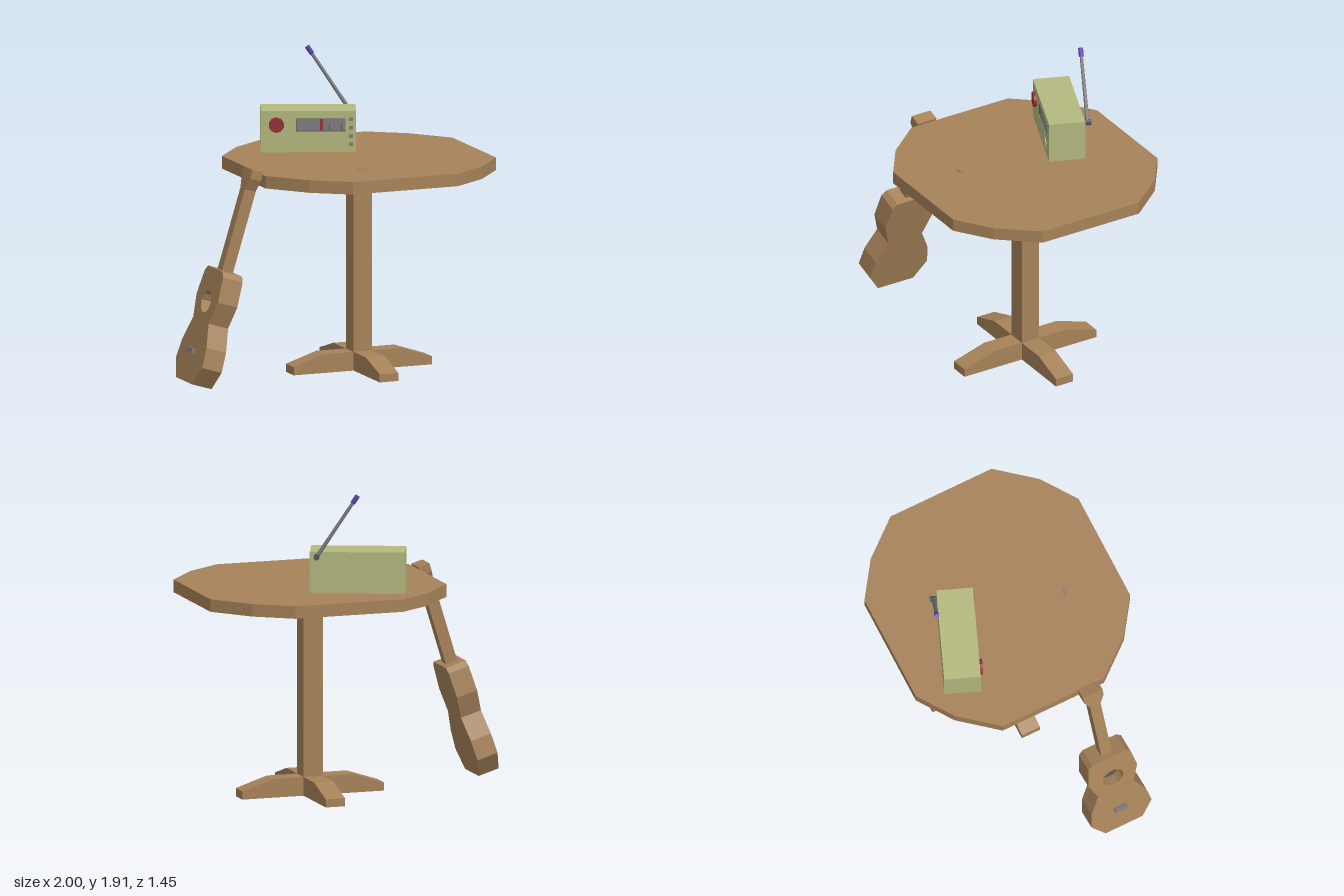
import * as THREE from 'three';

const mat = (name, color) => {
  const m = new THREE.MeshStandardMaterial({ color });
  m.name = name;
  return m;
};

export function createModel() {
  const wood = mat('wood', 0xa68259);
  const green = mat('olive green', 0xb4b97f);
  const red = mat('red', 0x963236);
  const grey = mat('grey', 0x7e7e80);
  const dark = mat('dark grey', 0x55565a);
  const purple = mat('purple', 0x5a43b8);

  const add = (parent, name, geo, material, x = 0, y = 0, z = 0) => {
    const mesh = new THREE.Mesh(geo, material);
    mesh.name = name;
    mesh.position.set(x, y, z);
    parent.add(mesh);
    return mesh;
  };
  const box = (w, h, d) => new THREE.BoxGeometry(w, h, d);
  const flatCyl = (r, h, n) => new THREE.CylinderGeometry(r, r, h, n).toNonIndexed();
  const disc = (r, h, n) => {
    const g = flatCyl(r, h, n).rotateX(Math.PI / 2);
    g.computeVertexNormals();
    return g;
  };
  const shapeOf = pts => new THREE.Shape(pts.map(p => new THREE.Vector2(p[0], p[1])));
  // symmetric outline from half widths [halfWidth, height]
  const mirrored = half => shapeOf([...half, ...half.map(([x, y]) => [-x, y]).reverse()]);
  const extrude = (shape, depth, curveSegments = 3) =>
    new THREE.ExtrudeGeometry(shape, { depth, bevelEnabled: false, curveSegments });

  const model = new THREE.Group();
  model.name = 'tableWithRadioAndGuitar';

  // ---- table ----
  const table = new THREE.Group();
  table.name = 'table';
  table.position.set(0.245, 0, 0);
  model.add(table);
  const quarter = [[0.755, 0.342], [0.565, 0.572], [0.345, 0.725]];
  const half = [
    ...quarter.map(([x, z]) => [x, -z]).reverse(),
    ...quarter,
  ];
  add(table, 'tableTop', extrude(mirrored(half), 0.077).rotateX(-Math.PI / 2), wood, 0, 1.224, 0);
  add(table, 'post', box(0.122, 1.225, 0.122), wood, 0, 0.6125, 0);
  // crossed feet
  [[0.453, 0], [0.468, Math.PI / 2]].forEach(([reach, turn]) => {
    const g = extrude(mirrored([[reach, 0], [reach, 0.05], [0.255, 0.115]]), 0.122);
    g.translate(0, 0, -0.061);
    add(table, 'foot', g, wood).rotation.y = turn;
  });
  add(model, 'pick', box(0.05, 0.004, 0.015), grey, 0.1, 1.302, 0.38);

  // ---- radio ----
  const radio = new THREE.Group();
  radio.name = 'radio';
  radio.position.set(0.06, 1.3, -0.355);
  radio.rotation.y = -0.382;
  model.add(radio);
  const W = 0.288, H = 0.255, F = 0.111, recess = 0.03;
  const [l, r, b, t] = [-0.073, 0.226, 0.128, 0.208];
  const face = shapeOf([[-W, 0], [W, 0], [W, H], [-W, H]]);
  face.holes.push(new THREE.Path([[l, b], [l, t], [r, t], [r, b]].map(p => new THREE.Vector2(...p))));
  add(radio, 'radioFront', extrude(face, recess), green, 0, 0, F - recess);
  add(radio, 'radioCase', box(2 * W, H, 2 * F - recess), green, 0, H / 2, -recess / 2);
  // recessed tuning display
  const cx = (l + r) / 2, cy = (b + t) / 2, back = F - recess;
  add(radio, 'display', box(r - l, t - b, 0.004), grey, cx, cy, back + 0.002);
  [l, r].forEach(x => add(radio, 'displaySide', box(0.004, t - b, recess - 0.001), dark, x, cy, F - recess / 2 - 0.001));
  [b, t].forEach(y => add(radio, 'displayEdge', box(r - l, 0.004, recess - 0.001), dark, cx, y, F - recess / 2 - 0.001));
  add(radio, 'needle', box(0.02, t - b - 0.004, 0.006), red, 0.08, cy, back + 0.005);
  [0.13, 0.2].forEach(x => add(radio, 'tick', box(0.006, 0.035, 0.005), dark, x, b + 0.022, back + 0.005));
  // controls and speaker
  add(radio, 'tuningDial', disc(0.047, 0.018, 10), red, -0.193, 0.17, F + 0.009);
  [0.05, 0.1, 0.152, 0.203].forEach(y => add(radio, 'button', box(0.024, 0.022, 0.006), grey, 0.258, y, F + 0.003));
  add(radio, 'speaker', disc(0.037, 0.006, 12), green, 0.16, 0.058, F + 0.003);
  // antenna hinged on the back
  const antenna = new THREE.Group();
  antenna.name = 'antenna';
  antenna.position.set(0.245, 0.228, -0.132);
  antenna.rotation.z = 0.58;
  radio.add(antenna);
  add(antenna, 'antennaHinge', disc(0.018, 0.042, 8), dark);
  add(antenna, 'antennaRod', new THREE.CylinderGeometry(0.01, 0.012, 0.41, 8), grey, 0, 0.2, 0);
  add(antenna, 'antennaTip', new THREE.CylinderGeometry(0.015, 0.015, 0.055, 8), purple, 0, 0.425, 0);

  // ---- guitar leaning on the table ----
  const guitar = new THREE.Group();
  guitar.name = 'guitar';
  guitar.position.set(-0.936, 0.038, 0.232);
  guitar.rotation.set(0, -Math.PI / 2, -0.297, 'ZYX');
  model.add(guitar);
  const outline = [[0.125, 0], [0.203, 0.117], [0.185, 0.24], [0.12, 0.38],
    [0.165, 0.52], [0.142, 0.675], [0.112, 0.705]];
  const D = 0.067, hollow = 0.07;
  const backShape = mirrored(outline);
  const frontShape = mirrored(outline);
  const hole = new THREE.Path();
  hole.absarc(0, 0.5, 0.07, 0, Math.PI * 2, true);
  frontShape.holes.push(hole);
  add(guitar, 'guitarBack', extrude(backShape, 2 * D - hollow), wood, 0, 0, -D);
  add(guitar, 'guitarFront', extrude(frontShape, hollow, 5), wood, 0, 0, D - hollow);
  add(guitar, 'soundHoleFloor', disc(0.07, 0.004, 10), dark, 0, 0.5, D - hollow + 0.002);
  add(guitar, 'bridge', box(0.082, 0.03, 0.024), grey, 0, 0.19, D + 0.01);
  // neck widening into the head
  const neck = mirrored([[0.035, 0.69], [0.035, 1.22], [0.066, 1.29], [0.066, 1.345]]);
  add(guitar, 'neckAndHead', extrude(neck, 0.074), wood, 0, 0, -0.037);

  return model;
}
